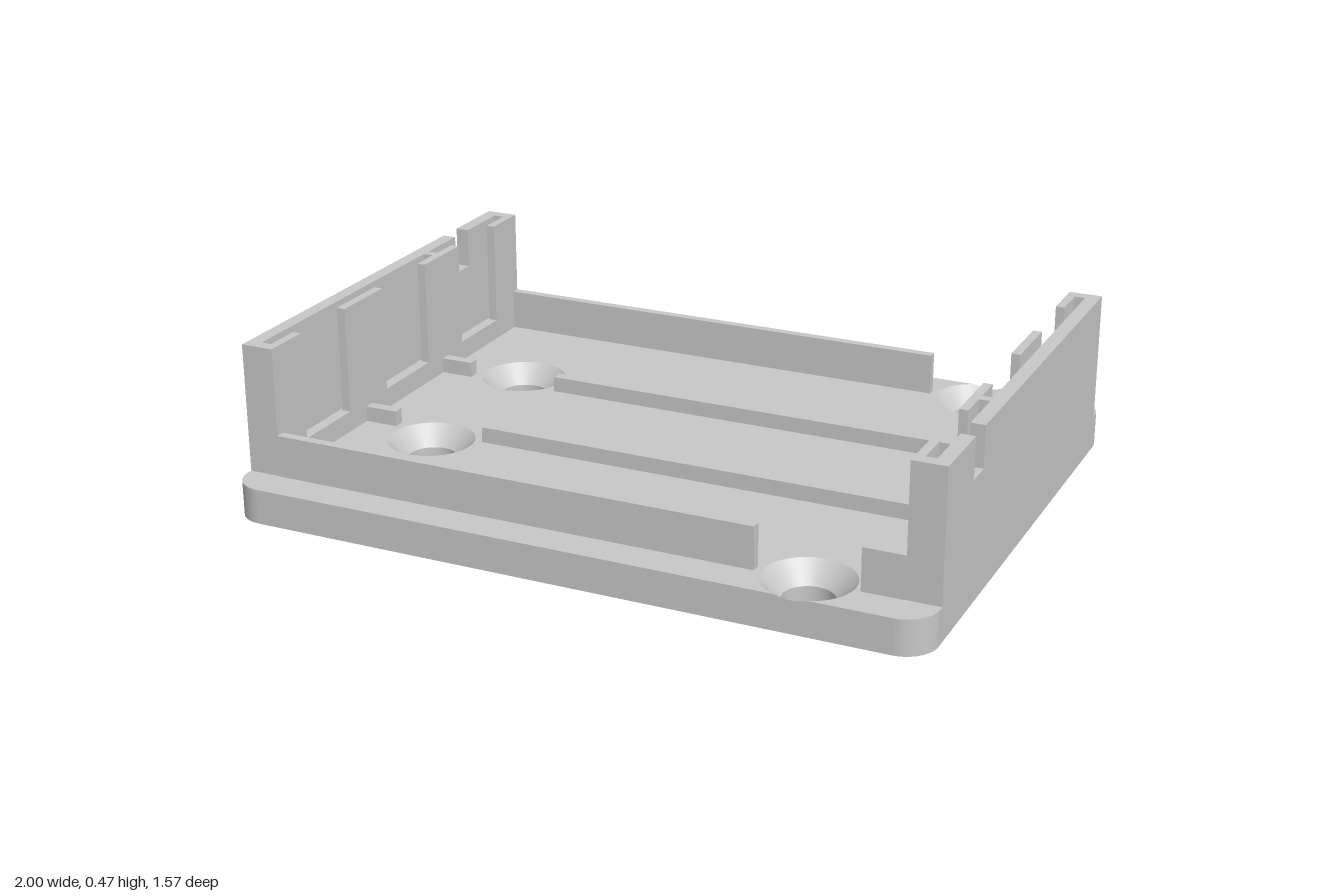
import * as THREE from 'three';

const D = 0.785, CORNER = 0.09, BASE = 0.1;      // plate half depth, corner radius, thickness
const BORE = 0.07, SINK = 0.125, SINK_Y = 0.045; // screw hole radii, height where the cone starts
const HX = 0.648, HZ = 0.668;                    // edge holes
const HOLES = [[HX, HZ], [HX, -HZ], [-0.665, 0.275], [-0.665, -0.275]];
const WALL = 0.905, SKIN = 0.96, LEAF = 0.93, TOP = 0.47, WZ = 0.68;

const grey = new THREE.MeshStandardMaterial({ name: 'grey plastic', color: 0xc8c8c8 });

export function createModel() {
  const model = new THREE.Group();
  model.name = 'enclosureBase';

  const add = (parent, name, geometry) => {
    const mesh = new THREE.Mesh(geometry, grey);
    mesh.name = name;
    parent.add(mesh);
    return mesh;
  };
  const box = (parent, name, x0, x1, y0, y1, z0, z1) =>
    add(parent, name, new THREE.BoxGeometry(x1 - x0, y1 - y0, z1 - z0))
      .position.set((x0 + x1) / 2, (y0 + y1) / 2, (z0 + z1) / 2);
  const hole = (shape, x, y, r) => shape.holes.push(new THREE.Path().absarc(x, y, r, 0, Math.PI * 2, true));

  // Rounded plate outline; edge(shape, side) details the long sides
  const outline = (edge) => {
    const s = new THREE.Shape(), r = CORNER, q = Math.PI / 2;
    s.moveTo(-1 + r, -D);
    edge(s, -1);
    s.lineTo(1 - r, -D);
    s.absarc(1 - r, -D + r, r, -q, 0);
    s.lineTo(1, D - r);
    s.absarc(1 - r, D - r, r, 0, q);
    edge(s, 1);
    s.lineTo(-1 + r, D);
    s.absarc(-1 + r, D - r, r, q, 2 * q);
    s.lineTo(-1, -D + r);
    s.absarc(-1 + r, -D + r, r, 2 * q, 3 * q);
    return s;
  };
  const base = new THREE.Group();
  base.name = 'basePlate';
  model.add(base);

  // Top face, bitten by the countersinks that overrun its edges
  const bite = Math.acos((D - HZ) / SINK);
  const top = outline((s, side) => {
    const mid = side * Math.PI / 2;
    s.absarc(HX, side * HZ, SINK, mid - bite, mid + bite, true);
  });
  HOLES.slice(2).forEach(([x, z]) => hole(top, x, -z, SINK));
  add(base, 'plateTop', new THREE.ShapeGeometry(top, 48).rotateX(-Math.PI / 2)).position.y = BASE;

  // Underside
  const bottom = outline(() => {});
  HOLES.forEach(([x, z]) => hole(bottom, x, z, BORE));
  add(base, 'plateUnderside', new THREE.ShapeGeometry(bottom, 48).rotateX(Math.PI / 2));

  // Rim, dipping where a countersink cuts through
  const slope = (BASE - SINK_Y) / (SINK - BORE);
  const rimHeight = (x, z) => Math.min(BASE, BASE - (SINK - Math.hypot(x - HX, Math.abs(z) - HZ)) * slope);
  const half = SINK * Math.sin(bite);
  const rimPoints = outline((s, side) => {
    for (let i = -8; i <= 8; i++) s.lineTo(HX - side * half * i / 8, side * D);
  }).getPoints(12);
  const pos = [], index = [];
  rimPoints.forEach((p, i) => {
    pos.push(p.x, 0, -p.y, p.x, rimHeight(p.x, p.y), -p.y);
    if (i) index.push(2 * i - 2, 2 * i, 2 * i + 1, 2 * i - 2, 2 * i + 1, 2 * i - 1);
  });
  const rim = new THREE.BufferGeometry();
  rim.setAttribute('position', new THREE.Float32BufferAttribute(pos, 3));
  rim.setIndex(index);
  rim.computeVertexNormals();
  add(base, 'plateRim', rim);

  // Screw holes: straight bore and conical seat, trimmed at the plate edge
  for (const [hx, hz] of HOLES) {
    const v = (r, y) => new THREE.Vector2(r, y);
    add(base, 'screwBore', new THREE.LatheGeometry([v(BORE, SINK_Y), v(BORE, 0)], 48)).position.set(hx, 0, hz);
    const cone = new THREE.LatheGeometry([v(SINK, BASE), v(BORE, SINK_Y)], 96);
    const p = cone.attributes.position;
    for (let i = 0; i < p.count; i++) {
      const reach = D - Math.abs(hz), z = p.getZ(i);
      if (Math.abs(z) > reach && z * hz > 0) {
        const k = reach / Math.abs(z), r = SINK * k;
        p.setXYZ(i, p.getX(i) * k, BASE - (SINK - r) * slope, z * k);
      }
    }
    add(base, 'countersink', cone).position.set(hx, 0, hz);
  }

  // Long rails and low inner ribs, interrupted beside the screws
  for (const s of [-1, 1]) {
    const strip = (name, x0, x1, h, a, b) =>
      box(model, name, x0, x1, BASE, h, Math.min(s * a, s * b), Math.max(s * a, s * b));
    strip('longRail', -WALL, 0.505, 0.22, 0.655, 0.682);
    strip('shortRail', 0.79, WALL, 0.22, 0.655, 0.682);
    strip('shortRib', -WALL, -0.807, 0.145, 0.203, 0.235);
    strip('longRib', -0.523, WALL, 0.145, 0.203, 0.235);
  }

  // End walls: notched outer skin, slot, and windowed inner leaf
  const plate = (parent, name, x0, x1, points) => {
    const shape = new THREE.Shape(points.map(([z, y]) => new THREE.Vector2(-z, y)));
    const g = new THREE.ExtrudeGeometry(shape, { depth: x1 - x0, bevelEnabled: false });
    add(parent, name, g.rotateY(Math.PI / 2)).position.x = x0;
  };
  for (const turn of [0, Math.PI]) {
    const wall = new THREE.Group();
    wall.name = turn ? 'rightEndWall' : 'leftEndWall';
    wall.rotation.y = turn;
    model.add(wall);
    plate(wall, 'outerSkin', SKIN, 1, [[WZ, BASE], [WZ, TOP], [0.473, TOP], [0.473, 0.353],
      [0.395, 0.353], [0.395, TOP], [-WZ, TOP], [-WZ, BASE]]);
    const leaf = [[WZ, BASE], [WZ, TOP]];
    for (const [a, b] of [[0.54, 0.32], [0.12, -0.12], [-0.32, -0.54]])
      leaf.push([a, TOP], [a, 0.16], [b, 0.16], [b, TOP]);
    leaf.push([-WZ, TOP], [-WZ, BASE]);
    plate(wall, 'windowedLeaf', WALL, LEAF, leaf);
    box(wall, 'slotFloor', LEAF, SKIN, BASE, 0.145, -WZ, WZ);
    for (const [a, b] of [[-WZ, -0.645], [0.208, 0.235], [0.645, WZ]])
      box(wall, 'slotDivider', LEAF, SKIN, 0.145, TOP, a, b);
  }
  return model;
}
